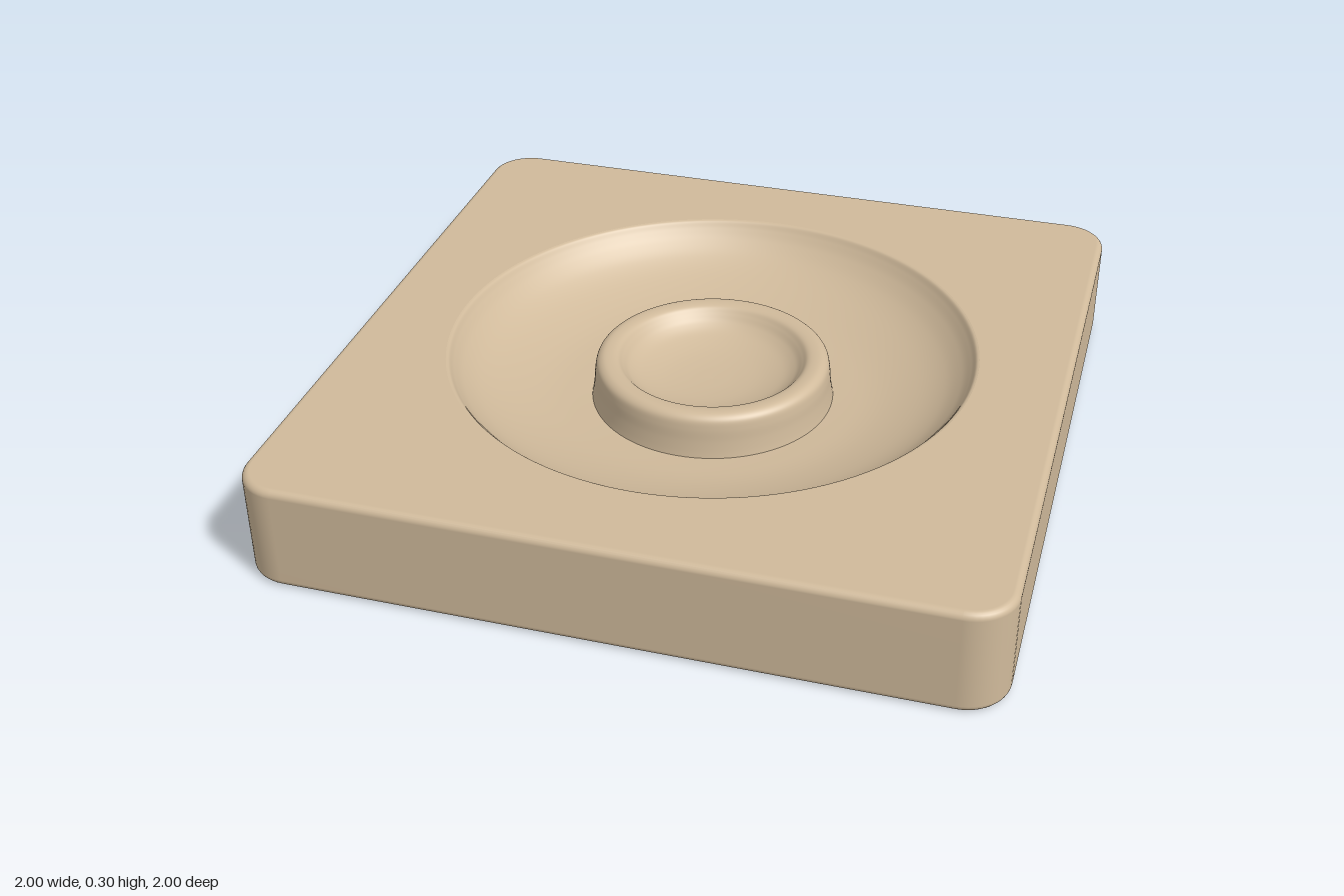
import * as THREE from 'three';

const HEIGHT = 0.3, CORNER = 0.12, BEVEL = 0.02, RIM = 0.75, SEGMENTS = 128;

// Rounded square of half size 1 - inset, as a loop of points
function outline(inset) {
  const points = [], steps = 12, c = 1 - CORNER, r = CORNER - inset;
  [[1, 1], [-1, 1], [-1, -1], [1, -1]].forEach(([sx, sy], q) => {
    for (let i = 0; i <= steps; i++) {
      const a = (q + i / steps) * Math.PI / 2;
      points.push(new THREE.Vector2(sx * c + r * Math.cos(a), sy * c + r * Math.sin(a)));
    }
  });
  return points;
}

// Side wall with softly rounded top and bottom edges
function wallGeometry() {
  const rows = [], steps = 6;
  for (let i = 0; i <= steps; i++) {
    const a = i / steps * Math.PI / 2;
    rows.push([BEVEL * (1 - Math.sin(a)), HEIGHT - BEVEL * (1 - Math.cos(a))]);
  }
  for (let i = 0; i <= steps; i++) {
    const a = i / steps * Math.PI / 2;
    rows.push([BEVEL * (1 - Math.cos(a)), BEVEL * (1 - Math.sin(a))]);
  }
  const positions = [], index = [], n = outline(0).length;
  rows.forEach(([inset, y], row) => {
    outline(inset).forEach((p, i) => {
      positions.push(p.x, y, p.y);
      if (row === rows.length - 1) return;
      const a = row * n + i, b = row * n + (i + 1) % n;
      index.push(a, b, a + n, b, b + n, a + n);
    });
  });
  const geometry = new THREE.BufferGeometry();
  geometry.setAttribute('position', new THREE.Float32BufferAttribute(positions, 3));
  geometry.setIndex(index);
  geometry.computeVertexNormals();
  // The outermost rows meet the flat faces, so they share their normals
  const normals = geometry.attributes.normal, last = (rows.length - 1) * n;
  for (let i = 0; i < n; i++) {
    normals.setXYZ(i, 0, 1, 0);
    normals.setXYZ(last + i, 0, -1, 0);
  }
  return geometry;
}

// Smooth surface of revolution through a few profile points
function turned(profile, divisions) {
  const curve = new THREE.SplineCurve(profile.map(([x, y]) => new THREE.Vector2(x, y)));
  const points = curve.getPoints(divisions);
  points.forEach(p => { p.x = Math.max(p.x, 0); });
  return new THREE.LatheGeometry(points, SEGMENTS);
}

export function createModel() {
  const group = new THREE.Group();
  const tan = new THREE.MeshStandardMaterial({ color: 0xd0ba9b });
  tan.name = 'tan';
  const add = (name, geometry) => {
    const mesh = new THREE.Mesh(geometry, tan);
    mesh.name = name;
    group.add(mesh);
  };

  add('slabWall', wallGeometry());

  // Flat top around the round opening
  const top = new THREE.Shape(outline(BEVEL));
  const hole = [];
  for (let i = 0; i < SEGMENTS; i++) {
    const a = -i / SEGMENTS * Math.PI * 2;
    hole.push(new THREE.Vector2(RIM * Math.cos(a), RIM * Math.sin(a)));
  }
  top.holes.push(new THREE.Path(hole));
  add('slabTop', new THREE.ShapeGeometry(top).rotateX(-Math.PI / 2).translate(0, HEIGHT, 0));
  add('slabBottom', new THREE.ShapeGeometry(new THREE.Shape(outline(BEVEL))).rotateX(Math.PI / 2));

  // Round basin, steep at the rim and flattening inward
  add('basin', turned([
    [RIM, HEIGHT], [0.741, 0.296], [0.728, 0.278], [0.703, 0.25], [0.66, 0.217],
    [0.6, 0.188], [0.52, 0.163], [0.44, 0.148], [0.335, 0.14],
  ], 64));

  // Raised centre ring with a shallow dish inside
  add('centreRing', turned([
    [0.345, 0.138], [0.341, 0.16], [0.337, 0.19], [0.334, 0.225], [0.328, 0.25],
    [0.312, 0.263], [0.29, 0.265], [0.27, 0.26], [0.255, 0.245], [0.235, 0.225],
    [0.2, 0.206], [0.14, 0.19], [0.07, 0.182], [0, 0.18],
  ], 91));

  return group;
}
